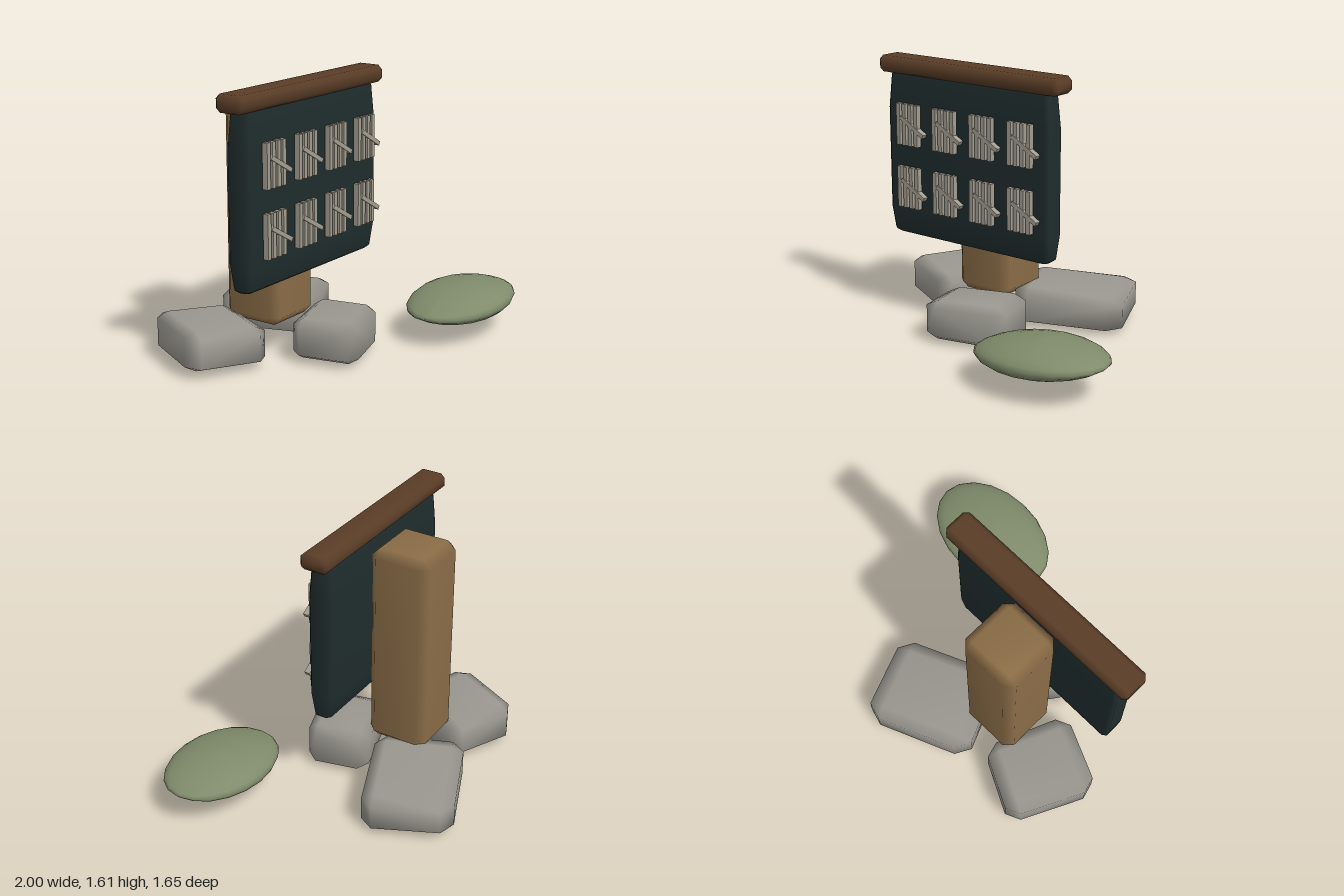
import * as THREE from 'three';
import { mergeVertices } from 'three/addons/utils/BufferGeometryUtils.js';
import { ConvexGeometry } from 'three/addons/geometries/ConvexGeometry.js';

const mat = (name, color) => {
  const m = new THREE.MeshStandardMaterial({ color });
  m.name = name;
  return m;
};

// Convex hull with smooth shared normals
function smoothHull(points) {
  const g = new ConvexGeometry(points);
  g.deleteAttribute('normal');
  const merged = mergeVertices(g, 1e-4);
  merged.computeVertexNormals();
  return merged;
}

// Corner points of a chamfered box centred on the origin
function chamferPoints(w, h, d, b) {
  const pts = [];
  for (const x of [-1, 1]) for (const y of [-1, 1]) for (const z of [-1, 1])
    for (let a = 0; a < 3; a++) {
      pts.push(new THREE.Vector3(
        x * (w / 2 - (a === 0 ? 0 : b)),
        y * (h / 2 - (a === 1 ? 0 : b)),
        z * (d / 2 - (a === 2 ? 0 : b))));
    }
  return pts;
}

// Chamfered stone on a four-cornered footprint: back-left, back-right, front-right, front-left.
// Each corner is [x, z, bottom, top].
function stoneGeometry(corners, bevel) {
  const pts = chamferPoints(1, 1, 1, bevel).map(p => {
    const u = p.x + 0.5, v = p.z + 0.5, t = p.y + 0.5;
    const weights = [(1 - u) * (1 - v), u * (1 - v), u * v, (1 - u) * v];
    const mix = i => corners.reduce((s, c, k) => s + c[i] * weights[k], 0);
    return new THREE.Vector3(mix(0), THREE.MathUtils.lerp(mix(2), mix(3), t), mix(1));
  });
  return smoothHull(pts);
}

export function createModel() {
  const root = new THREE.Group();
  root.name = 'tallySign';
  const postWood = mat('light wood', 0x8b6d47);
  const beamWood = mat('dark wood', 0x5a3d27);
  const slate = mat('slate', 0x1f2c2d);
  const chalk = mat('chalk', 0xa39e90);
  const stone = mat('stone', 0x99978f);
  const moss = mat('moss green', 0x7f8b6b);

  const add = (name, geometry, material, parent = root, pos = [0, 0, 0]) => {
    const m = new THREE.Mesh(geometry, material);
    m.name = name;
    m.position.set(...pos);
    parent.add(m);
    return m;
  };

  // Post and top beam
  add('post', smoothHull(chamferPoints(0.38, 1.27, 0.38, 0.05)), postWood, root, [-0.31, 0.835, -0.238]);
  add('topBeam', smoothHull(chamferPoints(1.333, 0.1, 0.177, 0.026)), beamWood, root, [-0.311, 1.56, 0.016]);

  // Slightly bulging board: [y, half width, half depth]
  const boardPoints = [];
  for (const [y, hx, hz] of [
    [0.522, 0.565, 0.035], [0.54, 0.588, 0.055], [0.68, 0.602, 0.071],
    [1.3, 0.603, 0.073], [1.5, 0.588, 0.062], [1.525, 0.57, 0.045],
  ])
    for (const sx of [-1, 1]) for (const sz of [-1, 1])
      boardPoints.push(
        new THREE.Vector3(sx * hx, y, sz * (hz - 0.02)),
        new THREE.Vector3(sx * (hx - 0.025), y, sz * hz));
  add('board', smoothHull(boardPoints), slate, root, [-0.31, 0, 0.02]);

  // Tally marks: four bars and a slash, in two rows of four
  const barGeo = new THREE.BoxGeometry(0.027, 0.252, 0.034);
  const slashGeo = new THREE.BoxGeometry(0.2, 0.025, 0.036);
  for (let row = 0; row < 2; row++) for (let col = 0; col < 4; col++) {
    const tally = new THREE.Group();
    tally.name = 'tallyMark';
    tally.position.set(-0.717 + col * 0.28, 1.219 - row * 0.385, 0.123);
    for (let i = 0; i < 4; i++)
      add('tallyBar', barGeo, chalk, tally, [(i - 1.5) * 0.0453, 0, 0]);
    add('tallySlash', slashGeo, chalk, tally, [0.04, -0.005, 0.004]).rotation.z = -0.52;
    root.add(tally);
  }

  // Stones around the foot of the post
  add('leftStone', stoneGeometry([
    [-0.79, -0.72, 0.04, 0.27], [-0.38, -0.51, 0.03, 0.25],
    [-0.59, -0.01, 0.02, 0.23], [-1.04, -0.22, 0.04, 0.275],
  ], 0.14), stone);
  add('rightStone', stoneGeometry([
    [-0.33, -0.61, 0.04, 0.25], [0.29, -0.87, 0.04, 0.23],
    [0.49, -0.37, 0.01, 0.2], [-0.12, -0.12, 0.02, 0.26],
  ], 0.13), stone);
  add('frontStone', stoneGeometry([
    [-0.47, 0.02, 0.02, 0.25], [0.01, -0.12, 0, 0.26],
    [0.1, 0.25, 0, 0.255], [-0.38, 0.41, 0.02, 0.26],
  ], 0.15), stone);

  // Mossy pad: flattened ellipsoid that thins to an edge at both x ends
  const pad = new THREE.SphereGeometry(1, 20, 12);
  const pos = pad.attributes.position;
  for (let i = 0; i < pos.count; i++) {
    const x = pos.getX(i), y = pos.getY(i), z = pos.getZ(i);
    const thin = Math.pow(Math.max(0, 1 - x * x), 0.25);
    pos.setXYZ(i, x * 0.417, y * thin * 0.1 + x * 0.02, z * 0.287);
  }
  pad.computeVertexNormals();
  add('mossPad', pad, moss, root, [0.582, 0.2, 0.523]);

  return root;
}
